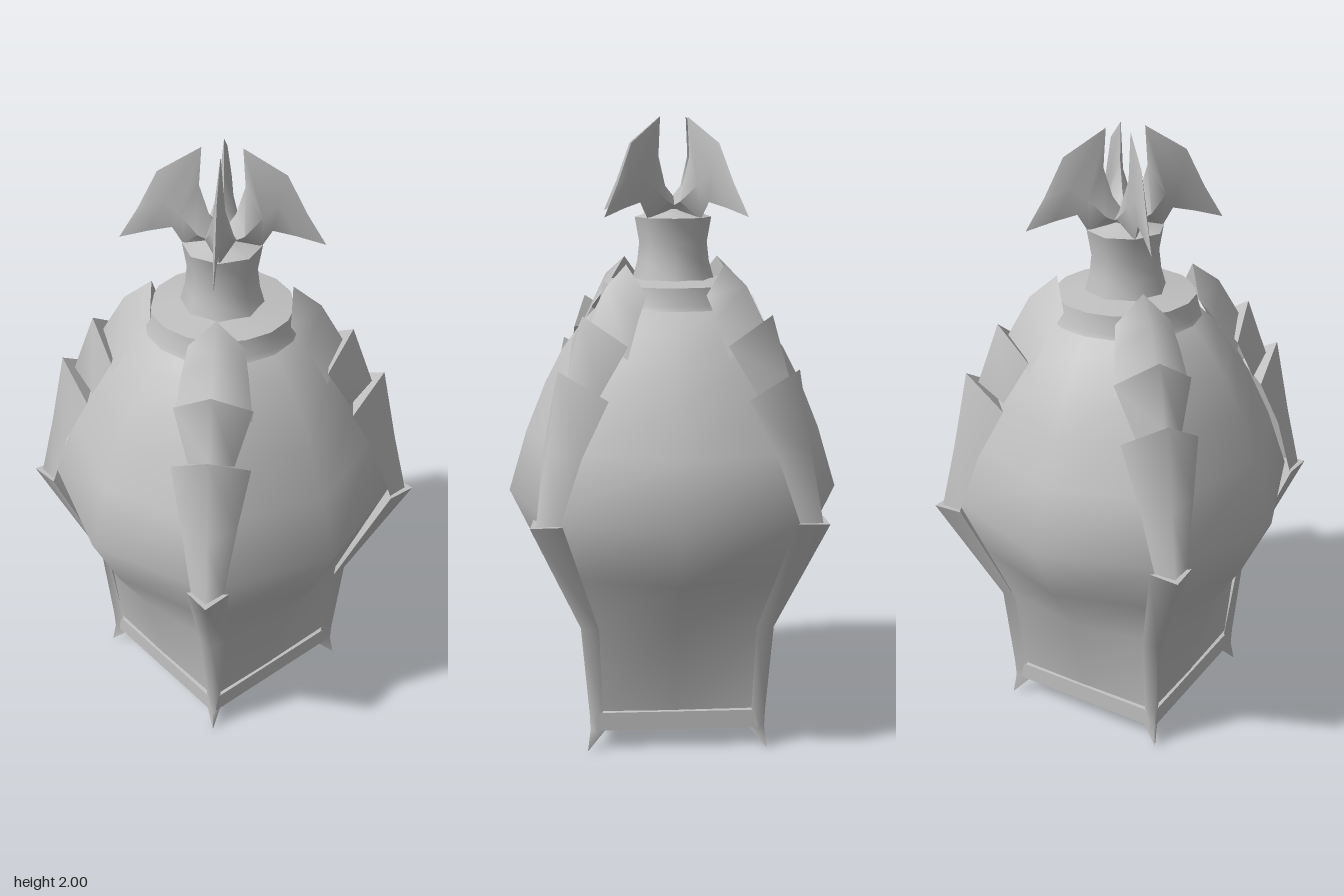
import * as THREE from 'three';
import { toCreasedNormals } from 'three/addons/utils/BufferGeometryUtils.js';

const grey = new THREE.MeshStandardMaterial({ color: 0xc0c0c0, side: THREE.DoubleSide });
grey.name = 'stone grey';

function mesh(name, geometry) {
  const m = new THREE.Mesh(geometry, grey);
  m.name = name;
  return m;
}

// Geometry from corner points and triangle indices, smooth where corners are shared
function surface(points, index) {
  const g = new THREE.BufferGeometry();
  g.setAttribute('position', new THREE.Float32BufferAttribute(points.flat(), 3));
  g.setIndex(index);
  g.computeVertexNormals();
  return g;
}

// Triangles joining successive rows of three points
function stripIndex(rowCount, flip) {
  const index = [];
  for (let k = 0; k < rowCount - 1; k++) {
    for (let j = 0; j < 2; j++) {
      const a = k * 3 + j, b = a + 1, c = a + 4, d = a + 3;
      index.push(...(flip ? [a, d, c, a, c, b] : [a, b, c, a, c, d]));
    }
  }
  return index;
}

// Turned part with sharp rims
function turned(points, sides) {
  return toCreasedNormals(new THREE.LatheGeometry(points.map(p => new THREE.Vector2(...p)), sides), 0.9);
}

// Rounded-over ridged bar running down the +x side, closed by a sharp top face.
// Section, top to bottom: ridge radius, ridge y, side radius, side y, half width
function ridge(sections) {
  const points = sections.flatMap(([r, y, sr, sy, w]) => [[sr, sy, w], [r, y, 0], [sr, sy, -w]]);
  const index = stripIndex(sections.length, true);
  const n = points.length;
  points.push(...points.slice(0, 3));
  index.push(n, n + 1, n + 2);
  return surface(points, index);
}

// Curved wall for one quarter: rows of y, radius on the axes, radius on the diagonal
function panel(rows) {
  const points = rows.flatMap(([y, axis, diagonal]) => {
    const q = diagonal * Math.SQRT1_2;
    return [[axis, y, 0], [q, y, q], [0, y, axis]];
  });
  return surface(points, stripIndex(rows.length, false));
}

// One face of a blade; rows of lower edge x, y, spine x, y, half thickness, upper edge x, y
function bladeFace(rows, side) {
  const points = rows.flatMap(([lx, ly, sx, sy, t, ux, uy]) => [[lx, ly, 0], [sx, sy, t * side], [ux, uy, 0]]);
  return toCreasedNormals(surface(points, stripIndex(rows.length, side > 0)), 0.9);
}

export function createModel() {
  const model = new THREE.Group();
  model.name = 'ribbedVessel';

  const wall = panel([
    [1.44, 0.19, 0.2], [1.41, 0.24, 0.24], [1.36, 0.29, 0.29], [1.27, 0.36, 0.358], [1.16, 0.42, 0.415],
    [1.0, 0.495, 0.48], [0.8, 0.565, 0.54], [0.6, 0.478, 0.445], [0.42, 0.4, 0.335],
    [0.12, 0.37, 0.265], [0.07, 0.366, 0.259],
  ]);
  const lowerRib = ridge([
    [0.638, 0.795, 0.565, 0.795, 0.065], [0.43, 0.42, 0.395, 0.42, 0.042],
    [0.4, 0.13, 0.362, 0.13, 0.023], [0.397, 0.07, 0.355, 0.06, 0.023], [0.41, 0, 0.41, 0, 0],
  ]);
  const lowPlate = ridge([
    [0.513, 1.255, 0.42, 1.165, 0.12], [0.565, 1, 0.5, 1, 0.085], [0.614, 0.79, 0.565, 0.79, 0.05],
  ]);
  const midPlate = ridge([[0.407, 1.41, 0.335, 1.32, 0.12], [0.476, 1.22, 0.41, 1.17, 0.07]]);
  const topPlate = ridge([
    [0.217, 1.553, 0.215, 1.462, 0.085], [0.305, 1.49, 0.268, 1.395, 0.1], [0.385, 1.355, 0.335, 1.28, 0.118],
  ]);
  const horn = [
    [0, 1.685, 0, 1.71, 0.05, 0, 1.73],
    [0.117, 1.685, 0.07, 1.74, 0.045, 0.04, 1.79],
    [0.15, 1.74, 0.12, 1.79, 0.024, 0.068, 1.88],
    [0.22, 1.725, 0.17, 1.83, 0.015, 0.06, 2],
    [0.31, 1.7, 0.22, 1.81, 0.008, 0.19, 1.92],
    [0.25, 1.8, 0.25, 1.8, 0, 0.25, 1.8],
  ];
  const hornLeft = bladeFace(horn, -1);
  const hornRight = bladeFace(horn, 1);

  // Four identical quarters
  for (let i = 0; i < 4; i++) {
    const quarter = new THREE.Group();
    quarter.name = 'quarter' + (i + 1);
    quarter.add(
      mesh('wallPanel', wall), mesh('lowerRib', lowerRib), mesh('lowerPlate', lowPlate),
      mesh('middlePlate', midPlate), mesh('upperPlate', topPlate),
      mesh('crownBladeLeft', hornLeft), mesh('crownBladeRight', hornRight),
    );
    quarter.rotation.y = i * Math.PI / 2;
    model.add(quarter);
  }

  // Square foot frame, open underneath
  model.add(mesh('foot', turned([[0.365, 0.065], [0.39, 0.065], [0.388, 0.125], [0.35, 0.13]], 4)));

  // Shoulder collar and flared neck
  model.add(mesh('collar', turned([[0.242, 1.415], [0.235, 1.43], [0.224, 1.485], [0.1, 1.5]], 16)));
  model.add(mesh('neck', turned([[0.132, 1.49], [0.115, 1.55], [0.108, 1.61], [0.122, 1.69]], 8)));
  model.add(mesh('neckCap', turned([[0.122, 1.69], [0.06, 1.71], [0, 1.74]], 8)));

  return model;
}
